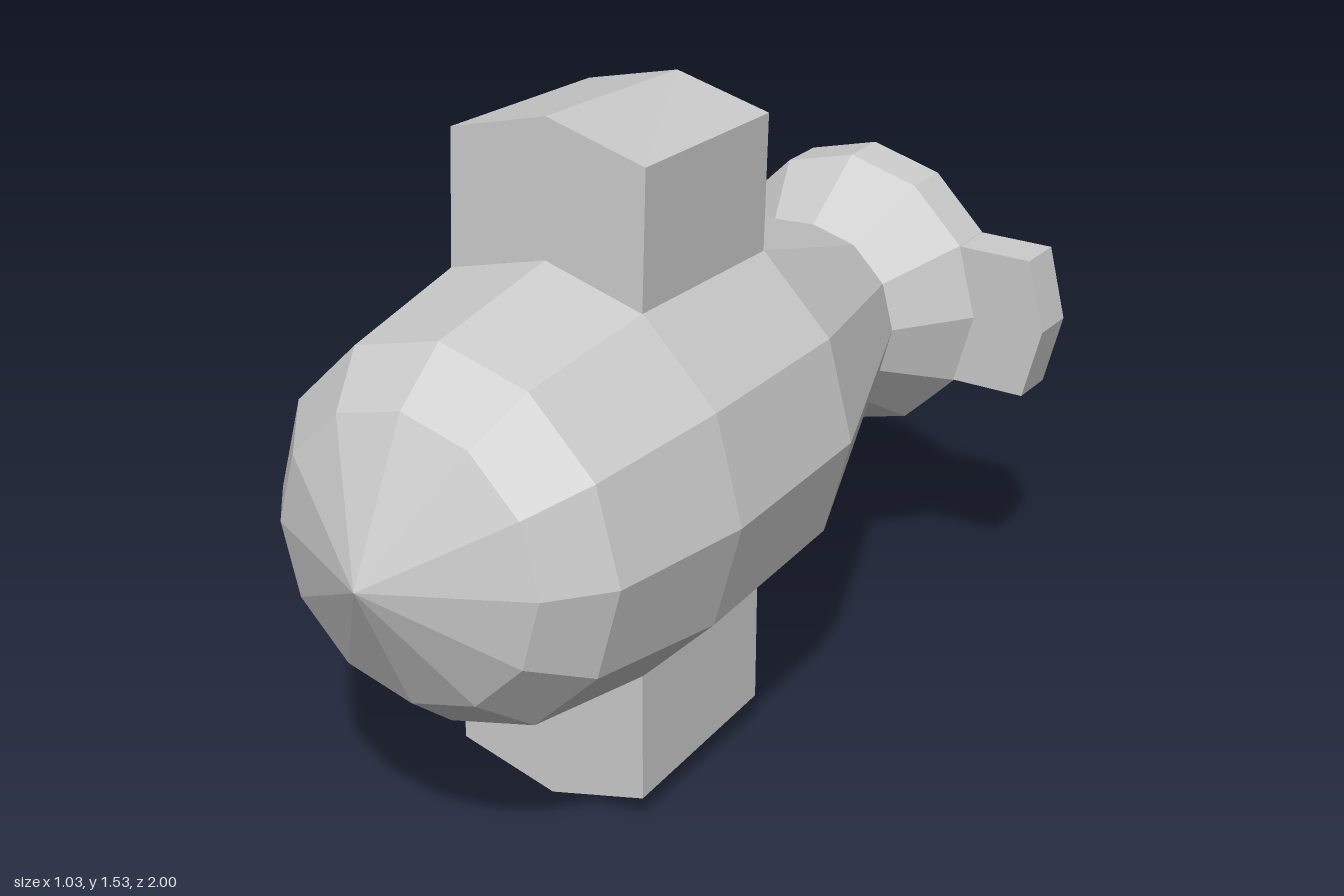
import * as THREE from 'three';

const AXIS_Y = 0.765;

// Solid between two matching cross-sections (front and back), corners counter-clockwise seen from the front
function loft(front, back) {
  const n = front.length, pos = [];
  const tri = (...pts) => pts.forEach((p) => pos.push(...p));
  for (let i = 0; i < n; i++) {
    const j = (i + 1) % n;
    tri(front[i], back[i], back[j]);
    tri(front[i], back[j], front[j]);
    if (i > 0 && i < n - 1) {
      tri(front[0], front[i], front[i + 1]);
      tri(back[0], back[i + 1], back[i]);
    }
  }
  const geo = new THREE.BufferGeometry();
  geo.setAttribute('position', new THREE.Float32BufferAttribute(pos, 3));
  geo.computeVertexNormals();
  return geo;
}

// Upright block section with a ridged end: half width, root, shoulder and ridge heights
const section = (w, root, shoulder, ridge, zRoot, zEnd) => [
  [-w, root, zRoot], [w, root, zRoot], [w, shoulder, zEnd], [0, ridge, zEnd], [-w, shoulder, zEnd],
];

export function createModel() {
  const group = new THREE.Group();
  const material = new THREE.MeshStandardMaterial({ color: 0xcccccc, flatShading: true });

  const add = (name, geo, roll = 0) => {
    const mesh = new THREE.Mesh(geo, material);
    mesh.name = name;
    mesh.position.y = AXIS_Y;
    mesh.rotation.z = roll;
    group.add(mesh);
  };

  // Twelve-sided body with pointed nose, narrow waist and flared tail
  const profile = [
    [0, -1], [0.34, -1], [0.34, -0.885], [0.218, -0.71], [0.447, -0.11],
    [0.468, 0.365], [0.415, 0.715], [0.315, 0.84], [0, 1],
  ].map(([r, z]) => new THREE.Vector2(r, z));
  add('body', new THREE.LatheGeometry(profile, 12).rotateX(Math.PI / 2));

  // Top fin leans back slightly, bottom fin stands straight
  add('topFin', loft(
    section(0.234, 0.36, 0.703, 0.765, 0.369, 0.356),
    section(0.224, 0.36, 0.685, 0.74, -0.107, -0.12)));
  add('bottomFin', loft(
    section(0.234, 0.36, 0.702, 0.765, 0.367, 0.367),
    section(0.224, 0.36, 0.682, 0.738, -0.108, -0.108)), Math.PI);

  // Ridged lugs on both sides of the tail rim
  const lug = loft(
    section(0.169, 0.26, 0.474, 0.517, -0.885, -0.885),
    section(0.169, 0.26, 0.474, 0.517, -1, -1));
  add('leftTailLug', lug, -Math.PI / 2);
  add('rightTailLug', lug, Math.PI / 2);

  return group;
}
